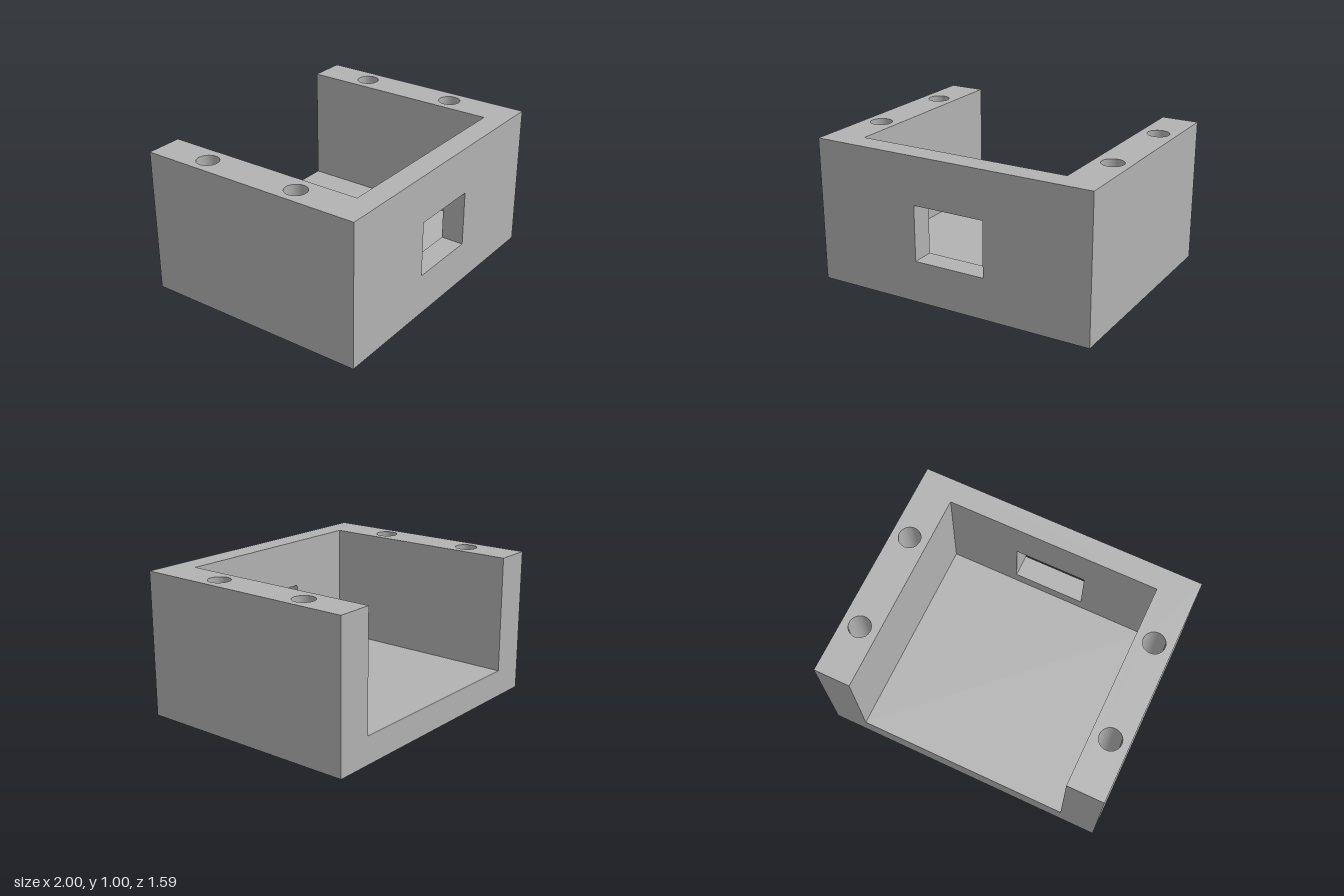
import * as THREE from 'three';
import { toCreasedNormals } from 'three/addons/utils/BufferGeometryUtils.js';

const W = 1, H = 1, D = 0.797;          // half width, height, half depth
const INNER_X = 0.747, INNER_Z = 0.638; // cavity limits
const FLOOR = 0.19;

// Rectangle outline, usable as a shape or a hole
function rect(x0, y0, x1, y1, Type = THREE.Shape) {
  const p = new Type();
  p.moveTo(x0, y0);
  p.lineTo(x1, y0);
  p.lineTo(x1, y1);
  p.lineTo(x0, y1);
  p.closePath();
  return p;
}

function extrude(shape, depth) {
  const geo = new THREE.ExtrudeGeometry(shape, { depth, bevelEnabled: false, curveSegments: 40 });
  return toCreasedNormals(geo, 0.6);
}

export function createModel() {
  const model = new THREE.Group();
  model.name = 'openBackBracket';
  const grey = new THREE.MeshStandardMaterial({ color: 0xb2b2b2 });
  grey.name = 'grey';

  const add = (name, geometry) => {
    const mesh = new THREE.Mesh(geometry, grey);
    mesh.name = name;
    model.add(mesh);
    return mesh;
  };

  // Side walls, each drilled from top to bottom with two bolt holes
  for (const [name, side] of [['leftWall', 1], ['rightWall', -1]]) {
    const xs = [side * INNER_X, side * W].sort((a, b) => a - b);
    const plan = rect(xs[0], -D, xs[1], D);
    for (const z of [-0.415, 0.286]) {
      const hole = new THREE.Path();
      hole.absarc(side * 0.875, -z, 0.075, 0, Math.PI * 2, true);
      plan.holes.push(hole);
    }
    add(name, extrude(plan, H).rotateX(-Math.PI / 2));
  }

  // Front wall with its rectangular window
  const front = rect(-INNER_X, 0, INNER_X, H);
  front.holes.push(rect(-0.254, 0.287, 0.254, 0.671, THREE.Path));
  add('frontWall', extrude(front, D - INNER_Z)).position.z = INNER_Z;

  // Floor between the walls, open at the back
  const floor = add('floor', new THREE.BoxGeometry(2 * INNER_X, FLOOR, INNER_Z + D));
  floor.position.set(0, FLOOR / 2, (INNER_Z - D) / 2);

  return model;
}
